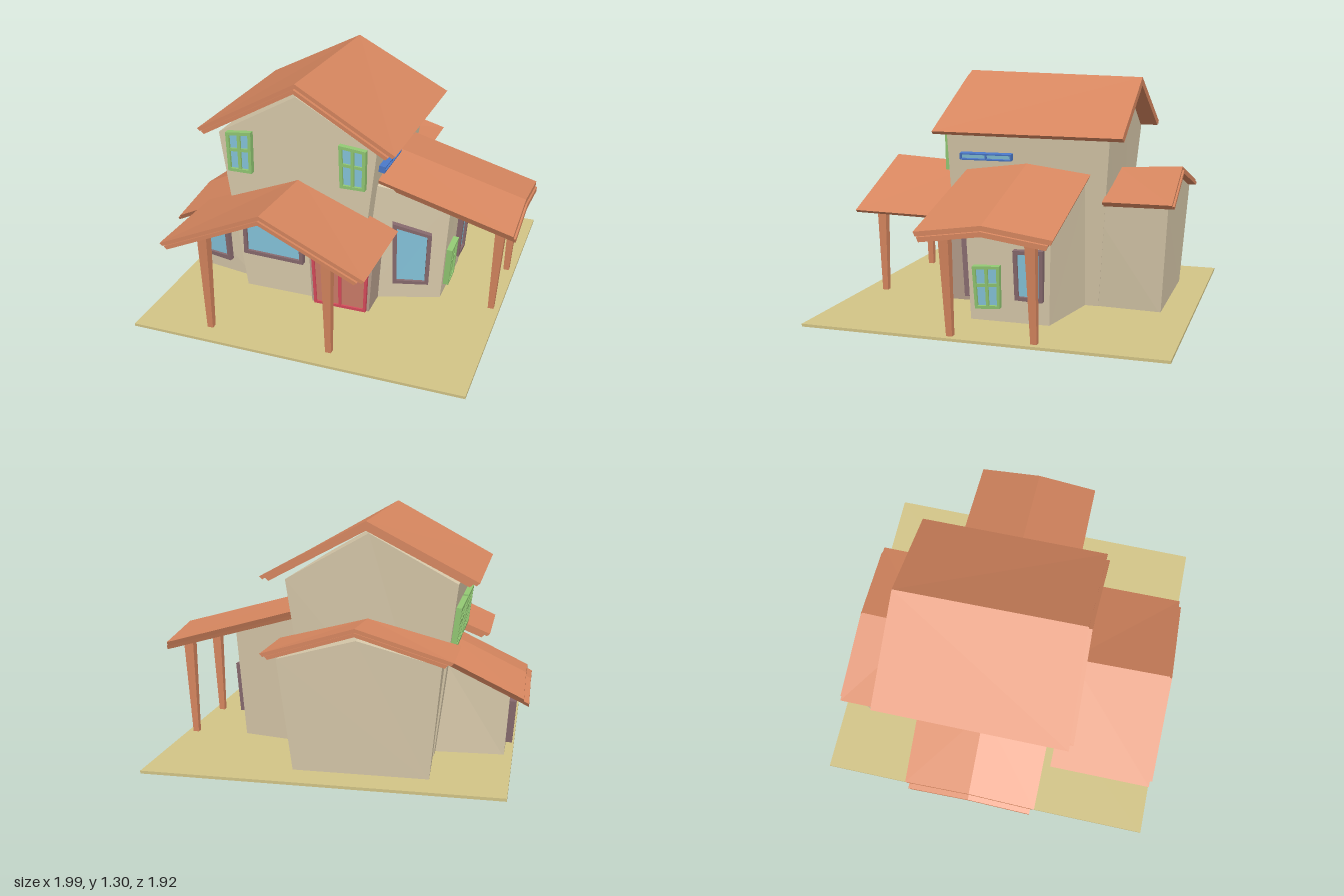
import * as THREE from 'three';

const mat = (color) => new THREE.MeshStandardMaterial({ color, flatShading: true });
const M = {
  wall: mat(0xdacbac), roof: mat(0xd6865f), post: mat(0xd6865f), ground: mat(0xd2c486),
  glass: mat(0x86c5dc), green: mat(0x92c873), plum: mat(0x876a6e), blue: mat(0x4a78c8),
  red: mat(0xd84b5c), door: mat(0xcd7d69), surround: mat(0xb8a08e),
};
const V = (p) => new THREE.Vector3(...p);

// Solid between two matching convex rings of points, always wound outwards
function prism(name, a, b, material) {
  const A = a.map(V), B = b.map(V), n = A.length, tris = [];
  for (let i = 0; i < n; i++) {
    const j = (i + 1) % n;
    tris.push([A[i], B[i], B[j]], [A[i], B[j], A[j]]);
    if (i > 0 && i < n - 1) tris.push([A[0], A[i], A[j]], [B[0], B[j], B[i]]);
  }
  let volume = 0;
  for (const [p, q, r] of tris) volume += p.dot(q.clone().cross(r));
  const pts = tris.flatMap(([p, q, r]) => (volume > 0 ? [p, q, r] : [p, r, q]));
  const geo = new THREE.BufferGeometry().setFromPoints(pts);
  geo.computeVertexNormals();
  const mesh = new THREE.Mesh(geo, material);
  mesh.name = name;
  return mesh;
}

function group(name, ...children) {
  const g = new THREE.Group();
  g.name = name;
  if (children.length) g.add(...children);
  return g;
}

// Gable roof: [eave, ridge, eave] at the outer end and the inner end, two stacked layers
function gableRoof(name, outer, inner, t = 0.025, ext = 0.015) {
  const g = group(name), down = new THREE.Vector3(0, -t, 0);
  const add = (p, v) => V(p).add(v).toArray();
  for (const side of [0, 2]) {
    for (const layer of [0, 1]) {
      const section = (end, other) => {
        const r = V(end[1]), e = V(end[side]).lerp(r, layer * 0.06);
        const shift = down.clone().multiplyScalar(layer);
        if (layer && end === outer) shift.add(V(end[1]).sub(V(other[1])).setLength(ext));
        const e2 = e.clone().lerp(r, 0.03);
        const pts = [e, r, r.clone().add(down), e2.add(down)];
        return pts.map((p) => add(p.toArray(), shift));
      };
      g.add(prism(layer ? 'roofUnderlayer' : 'roofSlab', section(outer, inner), section(inner, outer), M.roof));
    }
  }
  return g;
}

// Framed opening on a skewed quad: corners run bottom left, bottom right, top right, top left
function opening(name, corners, frame, pane, cols = 1, rows = [], bar = 0.02, depth = 0.03) {
  const [bl, br, tr, tl] = corners.map(V);
  const normal = br.clone().sub(bl).cross(tl.clone().sub(bl)).normalize();
  const at = (u, v, d) => bl.clone().lerp(br, u).lerp(tl.clone().lerp(tr, u), v)
    .addScaledVector(normal, d).toArray();
  const w = bar / bl.distanceTo(br), h = bar / bl.distanceTo(tl);
  const block = (label, u0, u1, v0, v1, d, m) => {
    const ring = (o) => [at(u0, v0, o), at(u1, v0, o), at(u1, v1, o), at(u0, v1, o)];
    return prism(label, ring(-0.02), ring(d), m);
  };
  const g = group(name,
    block('pane', w / 2, 1 - w / 2, h / 2, 1 - h / 2, depth * 0.5, pane),
    block('frameLeft', 0, w, 0, 1, depth, frame), block('frameRight', 1 - w, 1, 0, 1, depth, frame),
    block('frameBottom', w, 1 - w, 0, h, depth, frame), block('frameTop', w, 1 - w, 1 - h, 1, depth, frame));
  for (let i = 1; i < cols; i++)
    g.add(block('mullion', i / cols - w / 2, i / cols + w / 2, h, 1 - h, depth * 0.9, frame));
  for (const r of rows) g.add(block('transom', w, 1 - w, r - h / 2, r + h / 2, depth * 0.85, frame));
  return g;
}

// Tapered post, wider and leaning slightly outwards at the top
function post(name, x0, z0, x1, z1, top) {
  const ring = (x, y, z, r) => [[x - r, y, z - r], [x + r, y, z - r], [x + r, y, z + r], [x - r, y, z + r]];
  return prism(name, ring(x0, 0.01, z0, 0.016), ring(x1, top, z1, 0.027), M.post);
}

export function createModel() {
  const house = group('house');
  const ground = new THREE.Mesh(new THREE.BoxGeometry(1.84, 0.015, 1.925), M.ground);
  ground.name = 'ground';
  ground.position.y = 0.0075;
  house.add(ground);

  // Walls flare outwards towards the eaves
  house.add(
    prism('mainWalls',
      [[-0.51, 0, 0.385], [0.15, 0, 0.385], [0.27, 0.965, 0.4], [-0.175, 1.225, 0.405], [-0.634, 0.965, 0.4]],
      [[-0.51, 0, -0.44], [0.15, 0, -0.44], [0.27, 0.95, -0.52], [-0.175, 1.2, -0.53], [-0.634, 0.95, -0.52]], M.wall),
    prism('backWingWalls',
      [[-0.53, 0, -0.79], [0.165, 0, -0.79], [0.235, 0.6, -0.83], [-0.17, 0.71, -0.835], [-0.59, 0.6, -0.83]],
      [[-0.5, 0, -0.35], [0.14, 0, -0.35], [0.22, 0.6, -0.4], [-0.17, 0.7, -0.4], [-0.57, 0.6, -0.4]], M.wall),
    prism('rightWingWalls',
      [[0.575, 0, 0.15], [0.575, 0, -0.28], [0.62, 0.625, -0.3], [0.62, 0.66, -0.06], [0.62, 0.625, 0.165]],
      [[0.13, 0, 0.3], [0.13, 0, -0.37], [0.2, 0.745, -0.39], [0.2, 0.78, -0.06], [0.2, 0.745, 0.31]], M.wall),
    prism('leftWingWalls',
      [[-0.875, 0, 0.24], [-0.875, 0, -0.35], [-0.9, 0.36, -0.36], [-0.9, 0.395, -0.06], [-0.9, 0.36, 0.25]],
      [[-0.5, 0, 0.3], [-0.5, 0, -0.37], [-0.55, 0.53, -0.37], [-0.55, 0.565, -0.06], [-0.55, 0.53, 0.3]], M.wall),
    prism('doorSurround',
      [[-0.095, 0, 0.425], [0.24, 0, 0.425], [0.275, 0.465, 0.435], [-0.11, 0.43, 0.435]],
      [[-0.095, 0, 0.15], [0.24, 0, 0.15], [0.275, 0.465, 0.15], [-0.11, 0.43, 0.15]], M.surround));

  // Roofs
  house.add(
    gableRoof('mainRoof',
      [[-0.745, 0.985, 0.44], [-0.175, 1.298, 0.415], [0.382, 0.985, 0.44]],
      [[-0.745, 0.975, -0.61], [-0.175, 1.268, -0.607], [0.382, 0.975, -0.61]], 0.024, 0.02),
    gableRoof('porchRoof',
      [[-0.745, 0.525, 0.915], [-0.175, 0.778, 0.905], [0.382, 0.525, 0.915]],
      [[-0.745, 0.515, 0.36], [-0.175, 0.745, 0.36], [0.382, 0.515, 0.36]], 0.022),
    gableRoof('backWingRoof',
      [[-0.65, 0.63, -0.86], [-0.165, 0.772, -0.845], [0.31, 0.63, -0.86]],
      [[-0.65, 0.63, -0.49], [-0.165, 0.755, -0.49], [0.31, 0.63, -0.49]], 0.02, 0.01),
    gableRoof('rightWingRoof',
      [[0.985, 0.558, 0.293], [0.985, 0.608, -0.058], [0.985, 0.558, -0.413]],
      [[0.22, 0.772, 0.293], [0.22, 0.82, -0.058], [0.22, 0.772, -0.413]], 0.025, 0.01),
    gableRoof('leftWingRoof',
      [[-0.972, 0.35, 0.318], [-0.972, 0.398, -0.06], [-0.972, 0.35, -0.435]],
      [[-0.54, 0.555, 0.318], [-0.54, 0.605, -0.06], [-0.54, 0.555, -0.435]], 0.02, 0.03));

  // Posts under the porch and the right wing roof
  house.add(
    post('porchPostLeft', 0.165, 0.84, 0.165, 0.85, 0.585), post('porchPostRight', -0.517, 0.84, -0.517, 0.85, 0.585),
    post('carportPostFront', 0.872, 0.15, 0.9, 0.163, 0.55), post('carportPostBack', 0.872, -0.29, 0.9, -0.28, 0.55));

  // Front windows and double door
  for (const [x, dy] of [[-0.505, 1], [0.145, -1]])
    house.add(opening('upperFrontWindow',
      [[x - 0.07, 0.755, 0.4], [x + 0.07, 0.755, 0.4], [x + 0.075, 0.99 + dy * 0.008, 0.402], [x - 0.075, 0.99 - dy * 0.008, 0.402]],
      M.green, M.glass, 2, [0.55], 0.017));
  house.add(
    opening('livingWindow', [[-0.51, 0.245, 0.393], [-0.15, 0.235, 0.393], [-0.15, 0.49, 0.396], [-0.51, 0.515, 0.396]],
      M.plum, M.glass, 1, [], 0.022),
    opening('leftWingFrontWindow', [[-0.835, 0.105, 0.25], [-0.655, 0.1, 0.28], [-0.665, 0.415, 0.285], [-0.865, 0.345, 0.255]],
      M.plum, M.glass, 1, [], 0.022),
    opening('rightWingFrontWindow', [[0.32, 0.125, 0.238], [0.51, 0.12, 0.178], [0.525, 0.44, 0.19], [0.32, 0.515, 0.262]],
      M.plum, M.glass, 1, [], 0.022),
    opening('frontDoor', [[-0.075, 0.02, 0.427], [0.228, 0.02, 0.427], [0.247, 0.385, 0.434], [-0.088, 0.355, 0.434]],
      M.red, M.door, 2, [], 0.015, 0.02));

  // Right side windows
  house.add(
    opening('rightGreenWindow', [[0.582, 0.085, 0.115], [0.582, 0.095, -0.022], [0.6, 0.325, -0.025], [0.6, 0.315, 0.125]],
      M.green, M.glass, 2, [0.55], 0.015),
    opening('rightPlumWindow', [[0.587, 0.15, -0.105], [0.587, 0.145, -0.255], [0.607, 0.42, -0.262], [0.607, 0.415, -0.1]],
      M.plum, M.glass, 1, [], 0.02),
    opening('slitWindow', [[0.253, 0.828, 0.318], [0.253, 0.828, 0.02], [0.259, 0.865, 0.02], [0.259, 0.865, 0.318]],
      M.blue, M.glass, 2, [], 0.007, 0.035));

  // Left side windows
  for (const z of [-0.27, 0.15])
    house.add(opening('leftUpperWindow',
      [[-0.588, 0.6, z - 0.18], [-0.588, 0.6, z + 0.18], [-0.616, 0.82, z + 0.185], [-0.616, 0.82, z - 0.185]],
      M.green, M.glass, 3, [0.55], 0.018));
  house.add(opening('leftWingSideWindow',
    [[-0.88, 0.07, -0.3], [-0.88, 0.07, 0.2], [-0.896, 0.29, 0.21], [-0.896, 0.3, -0.31]], M.plum, M.glass, 1, [], 0.025, 0.035));
  return house;
}
